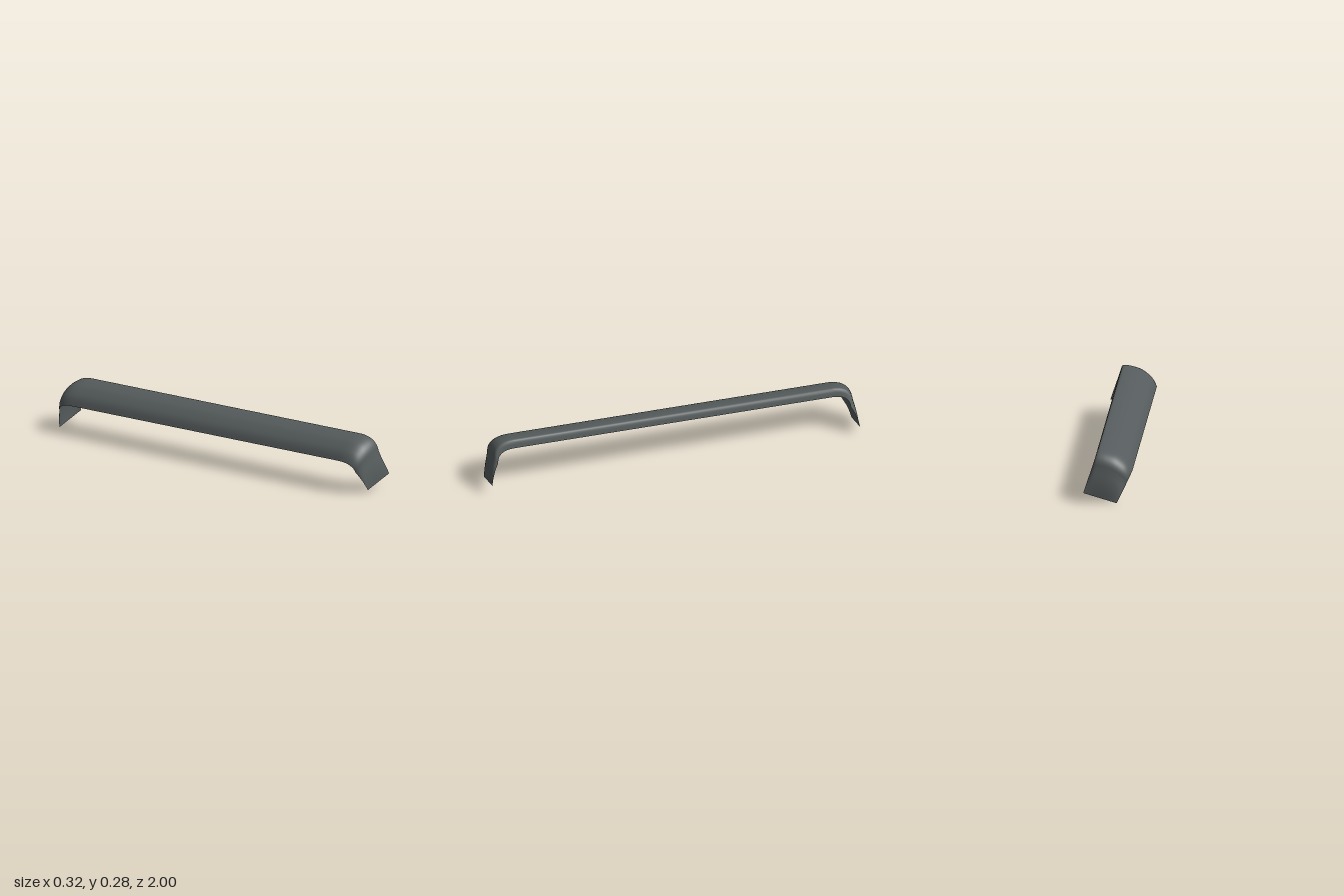
import * as THREE from 'three';

// One thin curved shell: a long domed rail that bends down into a flat leg at each end.
export function createModel() {
  const group = new THREE.Group();
  const material = new THREE.MeshStandardMaterial({ color: 0x565c5d, side: THREE.DoubleSide });
  material.name = 'dark grey';

  // Domed cross-section of the rail at mid length, left edge to rolled right lip
  const section = new THREE.SplineCurve([
    [-0.125, 0.162], [-0.108, 0.196], [-0.085, 0.222], [-0.045, 0.25], [0, 0.265],
    [0.035, 0.271], [0.053, 0.27], [0.061, 0.257], [0.068, 0.231],
  ].map(([x, y]) => new THREE.Vector2(x, y))).getSpacedPoints(32);

  // Straight, slanted bottom edge of a leg
  const tipA = new THREE.Vector2(-0.049, 0.008);
  const tipB = new THREE.Vector2(0.126, 0.058);

  // Rail end to leg tip, for the section point at fraction u across
  const BEND = 12;
  function endCurve(p, u) {
    const tip = tipA.clone().lerp(tipB, u);
    const dome = Math.sin(Math.PI * u) ** 0.6;
    const zc = 0.957 + 0.025 * dome;
    const start = new THREE.Vector3(p.x, p.y, 0.86);
    const corner = new THREE.Vector3(p.x, p.y, zc - 0.003);
    const k = p.clone().lerp(tip, 0.36);
    const leg = new THREE.Vector3(k.x, k.y, zc);
    const end = new THREE.Vector3(tip.x, tip.y, 0.998);
    const points = new THREE.QuadraticBezierCurve3(start, corner, leg).getPoints(BEND);
    for (let i = 1; i <= 5; i++) {
      const q = leg.clone().lerp(end, i / 5);
      q.z += 0.006 * Math.sin(Math.PI * i / 5);
      points.push(q);
    }
    return points;
  }

  // Mirror the ends and skew the whole strip slightly sideways along its length
  const columns = section.map((p, j) => {
    const front = endCurve(p, j / (section.length - 1));
    const back = front.map((q) => new THREE.Vector3(q.x, q.y, -q.z)).reverse();
    return [...back, ...front].map((q) => {
      q.x += 0.039 * q.z;
      q.y += 0.0075 * q.z;
      return q;
    });
  });

  const rows = columns[0].length;
  const cols = columns.length;

  // Builds the surface between two rows of the strip, with shared smooth normals
  const positions = [];
  const index = [];
  for (let i = 0; i < rows; i++) {
    for (let j = 0; j < cols; j++) {
      const q = columns[j][i];
      positions.push(q.x, q.y, q.z);
      if (i < rows - 1 && j < cols - 1) {
        const a = i * cols + j;
        const b = a + cols;
        index.push(a, b, a + 1, b, b + 1, a + 1);
      }
    }
  }
  const geometry = new THREE.BufferGeometry();
  geometry.setAttribute('position', new THREE.Float32BufferAttribute(positions, 3));
  geometry.setIndex(index);
  geometry.computeVertexNormals();

  const shell = new THREE.Mesh(geometry, material);
  shell.name = 'curvedRailShell';
  group.add(shell);
  return group;
}
